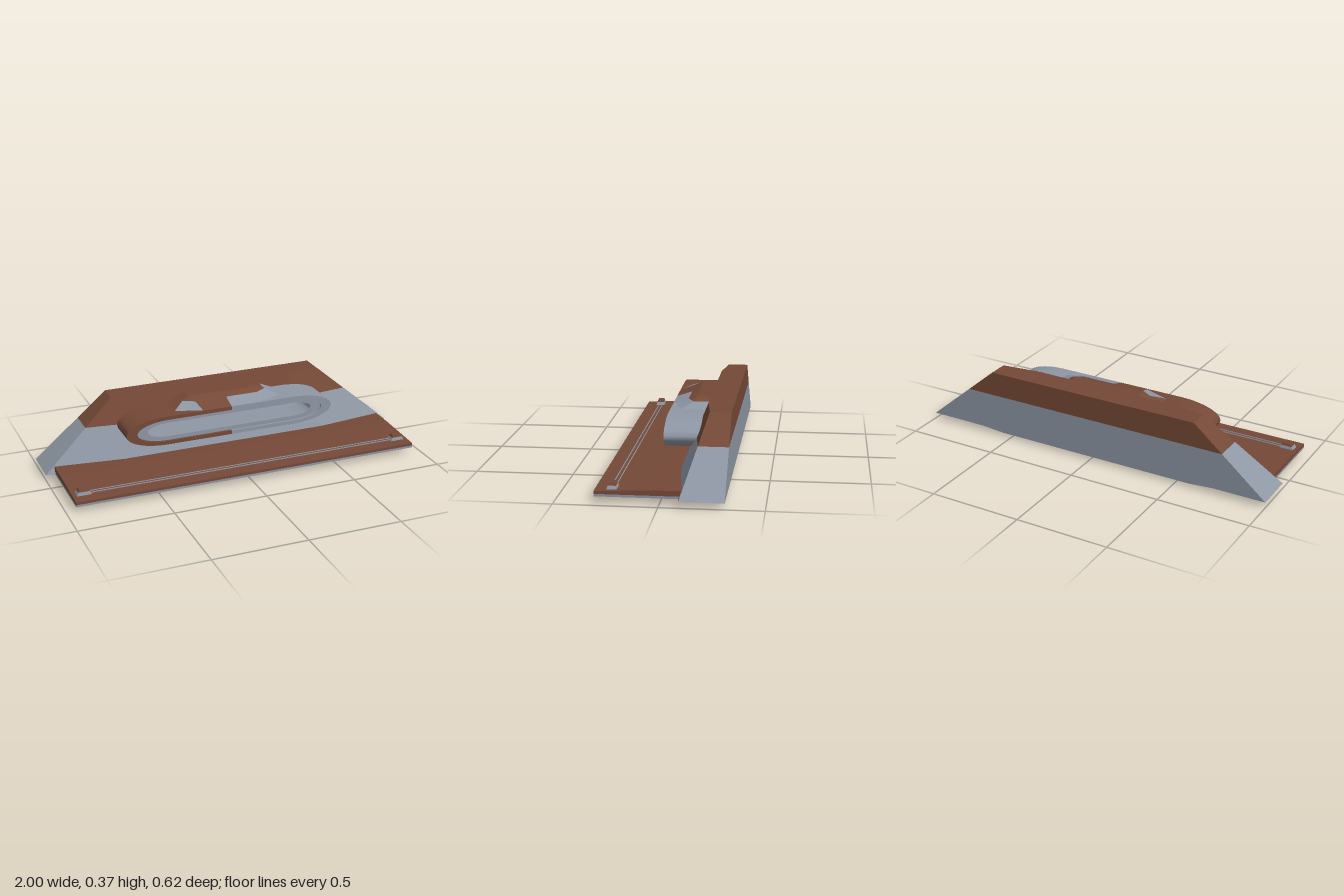
import * as THREE from 'three';
import { toCreasedNormals } from 'three/addons/utils/BufferGeometryUtils.js';
import { ConvexGeometry } from 'three/addons/geometries/ConvexGeometry.js';

const grey = new THREE.MeshStandardMaterial({ color: 0x8e97a4 });
grey.name = 'steel grey';
const brown = new THREE.MeshStandardMaterial({ color: 0x754937 });
brown.name = 'rust brown';

const V = (x, y, z) => new THREE.Vector3(x, y, z);
const mirror = (pts) => pts.flatMap((p) => [p, V(-p.x, p.y, p.z)]);
const mix = (a, b, t) => a.map((p, i) => p.clone().lerp(b[i], t));

export function createModel() {
  const model = new THREE.Group();
  model.name = 'model';

  const add = (name, geometry, material, parent = model) => {
    const mesh = new THREE.Mesh(geometry, material);
    mesh.name = name;
    parent.add(mesh);
    return mesh;
  };
  const solid = (name, pts, material, parent) => add(name, new ConvexGeometry(pts), material, parent);

  // Sloping rear body, two colours split at one height
  const bodyLow = [V(1, 0.032, -0.312), V(1, 0.032, -0.095), V(0.6, 0.032, -0.045)];
  const bodyTop = [V(0.6, 0.37, -0.312), V(0.6, 0.37, -0.205), V(0.4, 0.37, -0.18)];
  const bodyMid = mix(bodyLow, bodyTop, 0.605);
  solid('lowerBody', mirror([...bodyLow, ...bodyMid]), grey);
  solid('upperBody', mirror([...bodyMid, ...bodyTop]), brown);

  // Shallow keel under the deck
  solid('keel', mirror([
    V(0.95, 0.03, 0.312), V(0.95, 0.03, -0.1), V(0.95, 0.032, -0.28),
    V(0.57, 0.001, 0.02), V(0.57, 0.001, -0.28),
  ]), grey);

  // Front deck: grey edge below, brown plate on top
  solid('deckEdge', mirror([
    V(0.95, 0.03, 0.312), V(0.95, 0.042, 0.312), V(0.95, 0.03, -0.11), V(0.95, 0.042, -0.11),
  ]), grey);
  solid('deckPlate', mirror([
    V(0.95, 0.042, 0.312), V(0.95, 0.056, 0.312), V(0.95, 0.069, 0.02),
    V(0.95, 0.069, -0.11), V(0.95, 0.042, -0.11),
  ]), brown);

  // Corner lamps on the deck, tapering upwards
  const lampRing = (x, y, w, d) => [-1, 1].flatMap((i) => [-1, 1].map((j) => V(x + i * w, y, 0.229 + j * d)));
  for (const side of [1, -1]) {
    const lamp = new THREE.Group();
    lamp.name = side > 0 ? 'leftLamp' : 'rightLamp';
    model.add(lamp);
    const x = side * 0.89;
    const middle = lampRing(x, 0.076, 0.03, 0.02);
    solid('lampBase', [...lampRing(x, 0.057, 0.04, 0.025), ...middle], grey, lamp);
    solid('lampTop', [...middle, ...lampRing(x, 0.088, 0.024, 0.015)], brown, lamp);
  }

  // Thin rails between the lamps
  for (const z of [0.217, 0.237]) {
    const rail = add('deckRail', new THREE.BoxGeometry(1.72, 0.005, 0.004), grey);
    rail.position.set(0, 0.061, z);
  }

  // Long hollow pod: half rings with elliptical ends
  const arc = (side, rx, ry) => {
    const pts = [new THREE.Vector2(0, 0.232 + ry)];
    for (let i = 0; i <= 28; i++) {
      const t = (Math.PI * i) / 28;
      pts.push(new THREE.Vector2(side * (0.36 + rx * Math.sin(t)), 0.232 + ry * Math.cos(t)));
    }
    pts.push(new THREE.Vector2(0, 0.232 - ry));
    return pts;
  };
  const halfRing = (name, side, outer, inner, front, material) => {
    const shape = new THREE.Shape([...arc(side, ...outer), ...arc(side, ...inner).reverse()]);
    const geometry = new THREE.ExtrudeGeometry(shape, { depth: front + 0.2, bevelEnabled: false });
    geometry.translate(0, 0, -0.2);
    add(name, toCreasedNormals(geometry, 0.6), material);
  };
  for (const side of [1, -1]) {
    const label = side > 0 ? 'left' : 'right';
    halfRing(label + 'PodShell', side, [0.23, 0.08], [0.17, 0.06], 0.025, side > 0 ? grey : brown);
    halfRing(label + 'PodLining', side, [0.17, 0.06], [0.11, 0.038], 0.012, grey);
  }

  // Faceted cabin on the pod: three levels of corners
  const cabinLow = [V(0.16, 0.311, 0.023), V(0.305, 0.311, -0.03), V(0.31, 0.311, -0.2)];
  const cabinMid = [V(0.178, 0.338, -0.056), V(0.238, 0.338, -0.09), V(0.24, 0.338, -0.2)];
  const cabinTop = [V(0.19, 0.355, -0.1), V(0.2, 0.355, -0.115), V(0.2, 0.355, -0.2)];
  solid('cabinRoof', mirror([...cabinMid, ...cabinTop]), brown);

  // Lower cabin panels, one strip of quads per side
  const panel = (name, corners, side, material) => {
    const [a, b, c, d] = corners.map((p) => V(p.x * side, p.y, p.z));
    const order = side > 0 ? [a, b, c, a, c, d] : [a, c, b, a, d, c];
    const geometry = new THREE.BufferGeometry().setFromPoints(order);
    geometry.computeVertexNormals();
    add(name, geometry, material);
  };
  const centre = (p) => V(0, p.y, p.z);
  for (const side of [1, -1]) {
    const paint = side > 0 ? grey : brown;
    panel('cabinFront', [centre(cabinLow[0]), cabinLow[0], cabinMid[0], centre(cabinMid[0])], side, paint);
    panel('cabinCorner', [cabinLow[0], cabinLow[1], cabinMid[1], cabinMid[0]], side, grey);
    panel('cabinSide', [cabinLow[1], cabinLow[2], cabinMid[2], cabinMid[1]], side, paint);
  }

  return model;
}
